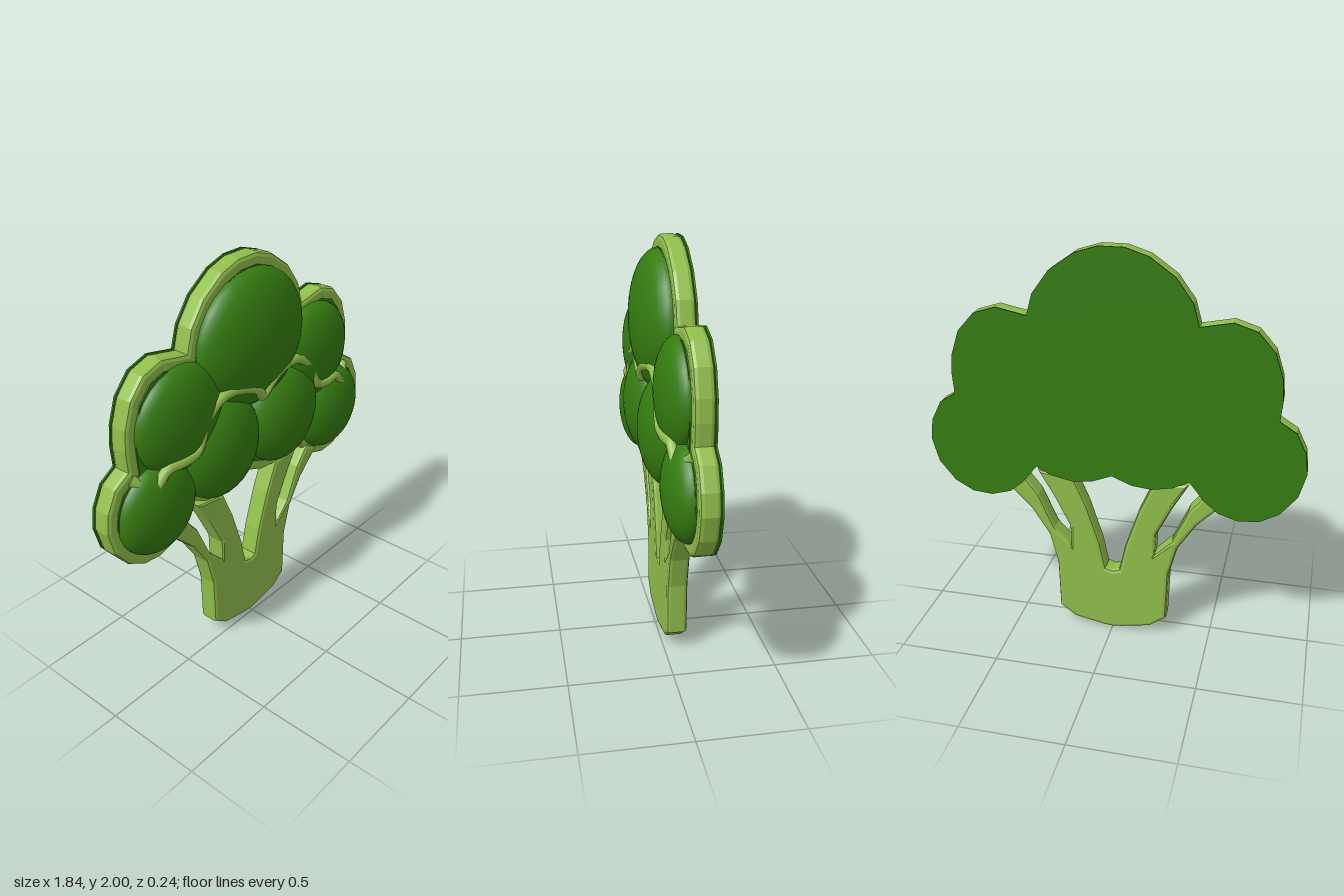
import * as THREE from 'three';

// Turns a right-hand half contour (bottom to top) into a closed symmetric shape
function mirroredShape(half) {
  const right = half.map(([x, y]) => new THREE.Vector2(x, y));
  const left = half.filter(([x]) => x > 0).reverse().map(([x, y]) => new THREE.Vector2(-x, y));
  return new THREE.Shape([...right, ...left]);
}

// Extrudes a shape between two z values; the bevel stays inside the contour
function slab(shape, z0, z1, bevel, inset = 0) {
  const thick = bevel || 0.001;
  const g = new THREE.ExtrudeGeometry(shape, {
    depth: z1 - z0 - 2 * thick,
    bevelEnabled: true,
    bevelThickness: thick,
    bevelSize: bevel,
    bevelOffset: -bevel - inset,
    bevelSegments: 2,
  });
  g.translate(0, 0, z0 + thick);
  return g;
}

export function createModel() {
  const model = new THREE.Group();
  model.name = 'broccoli';
  const lightGreen = new THREE.MeshStandardMaterial({ color: 0x90bd4b });
  lightGreen.name = 'light green';
  const darkGreen = new THREE.MeshStandardMaterial({ color: 0x357c10 });
  darkGreen.name = 'dark green';

  const add = (name, geometry, material) => {
    const mesh = new THREE.Mesh(geometry, material);
    mesh.name = name;
    model.add(mesh);
    return mesh;
  };

  // Crown: pale rim slab, dark back plate and dark front plate
  const crown = mirroredShape([
    [0, 0.89], [0.1, 0.85], [0.2, 0.84], [0.3, 0.86], [0.38, 0.9], [0.45, 0.81],
    [0.52, 0.75], [0.62, 0.72], [0.72, 0.73], [0.81, 0.78], [0.89, 0.88], [0.922, 1.0],
    [0.91, 1.1], [0.86, 1.2], [0.78, 1.25], [0.788, 1.35], [0.78, 1.45], [0.74, 1.57],
    [0.66, 1.66], [0.55, 1.695], [0.4, 1.665], [0.37, 1.77], [0.29, 1.88], [0.17, 1.965],
    [0.06, 2.0],
  ]);
  add('crownRim', slab(crown, -0.112, -0.02, 0.02), lightGreen);
  add('crownBack', slab(crown, -0.119, -0.11, 0), darkGreen);
  add('crownFront', slab(crown, -0.022, -0.014, 0, 0.055), darkGreen);

  // Florets: flattened half domes [name, x, y, rx, ry, height]
  const dome = new THREE.SphereGeometry(1, 28, 10, 0, Math.PI * 2, 0, Math.PI / 2);
  dome.rotateX(Math.PI / 2);
  const florets = [
    ['topFloret', 0, 1.61, 0.355, 0.335, 0.14],
    ['upperSideFloret', 0.47, 1.385, 0.265, 0.255, 0.105],
    ['lowerMiddleFloret', 0.225, 1.145, 0.25, 0.27, 0.14],
    ['lowerOuterFloret', 0.635, 1.005, 0.228, 0.228, 0.105],
  ];
  for (const [name, x, y, rx, ry, h] of florets) {
    for (const side of x ? [1, -1] : [1]) {
      const floret = add(name, dome, darkGreen);
      floret.position.set(side * x, y, -0.02);
      floret.scale.set(rx, ry, h);
    }
  }

  // Pale ridge between the upper and lower florets
  const ridgeHalf = [
    [0, 1.34, 0.065], [0.06, 1.4, 0.07], [0.15, 1.435, 0.06], [0.27, 1.43, 0.05],
    [0.37, 1.36, 0.05], [0.44, 1.235, 0.055], [0.52, 1.22, 0.055], [0.61, 1.215, 0.04],
    [0.69, 1.14, 0.025], [0.77, 1.21, -0.03],
  ];
  for (const side of [1, -1]) {
    const path = new THREE.CatmullRomCurve3(
      ridgeHalf.map(([x, y, z]) => new THREE.Vector3(side * x, y, z)), false, 'centripetal');
    add('floretRidge', new THREE.TubeGeometry(path, 40, 0.026, 7), lightGreen);
  }

  // Stalk: solid foot splitting into two branches on each side
  const stalk = mirroredShape([
    [0, 0.005], [0.05, 0.01], [0.2, 0.04], [0.28, 0.1], [0.288, 0.36], [0.33, 0.52],
    [0.42, 0.66], [0.55, 0.79], [0.46, 0.84], [0.38, 0.74], [0.3, 0.56], [0.215, 0.47],
    [0.22, 0.58], [0.3, 0.74], [0.38, 0.88], [0.2, 0.86], [0.13, 0.7], [0.065, 0.5],
    [0.035, 0.36], [0, 0.35],
  ]);
  add('stalk', slab(stalk, -0.112, -0.01, 0.018), lightGreen);

  return model;
}
